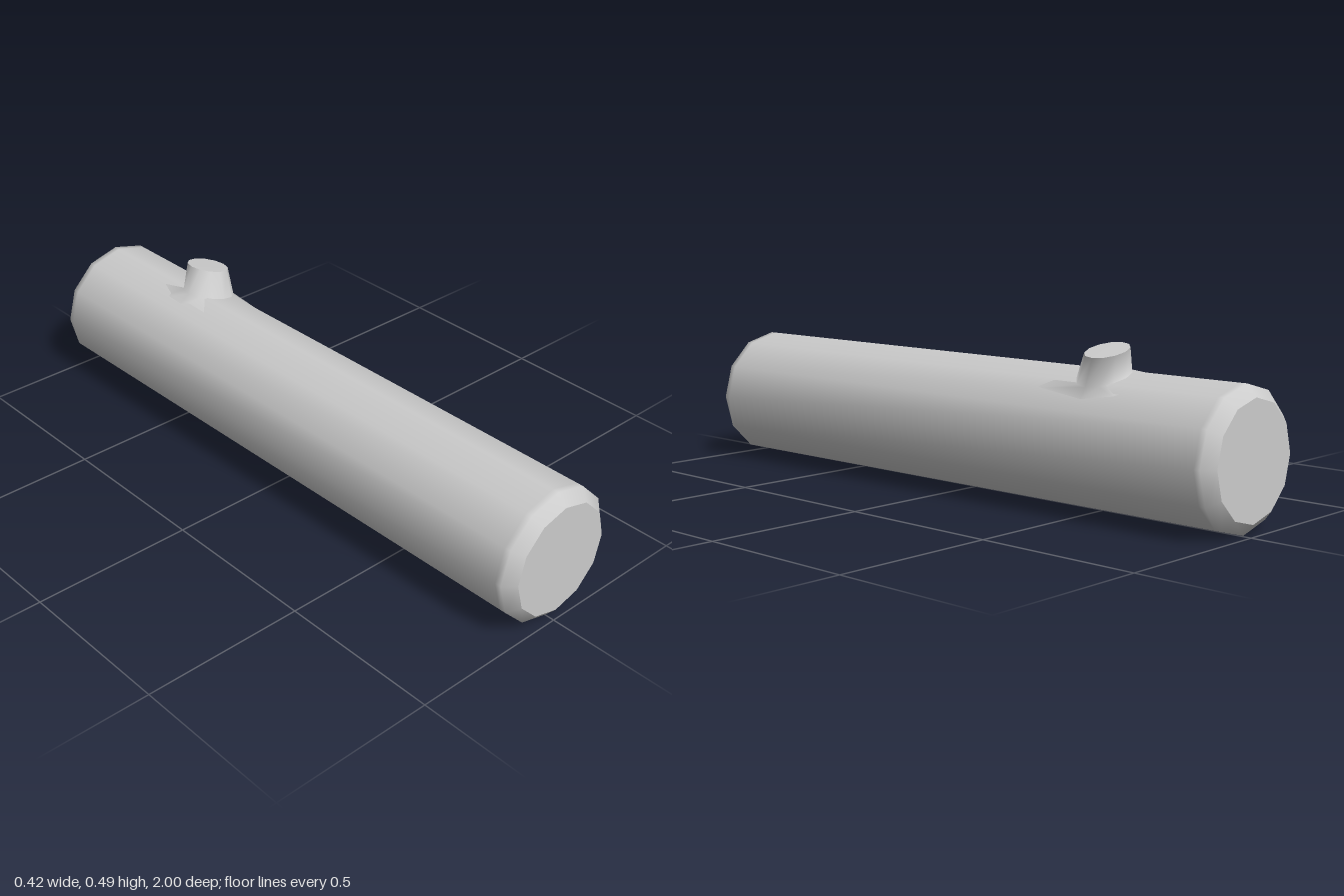
import * as THREE from 'three';

const SIDES = 12, R = 0.204, R_END = 0.17;
const material = new THREE.MeshStandardMaterial({ color: 0xcccccc });

// the log leans very slightly sideways along its length
const drift = (z) => -0.002 + 0.006 * z;

function add(group, name, geometry) {
  const mesh = new THREE.Mesh(geometry, material);
  mesh.name = name;
  group.add(mesh);
}

// smooth skin through rings of points, bottom ring first
function loft(rings) {
  const n = rings[0].length, index = [];
  for (let r = 0; r < rings.length - 1; r++) {
    for (let j = 0; j < n; j++) {
      const a = r * n + j, b = r * n + (j + 1) % n;
      index.push(a, a + n, b, b, a + n, b + n);
    }
  }
  const g = new THREE.BufferGeometry().setFromPoints(rings.flat());
  g.setIndex(index);
  g.computeVertexNormals();
  return g;
}

// tilted oval ring: centre, half width in x, drop towards +x, half depth in z
function ring([cx, cy, cz], hx, drop, hz) {
  return Array.from({ length: SIDES }, (_, j) => {
    const a = (j / SIDES) * Math.PI * 2, c = Math.cos(a);
    return new THREE.Vector3(cx + hx * c, cy - drop * c, cz + hz * Math.sin(a));
  });
}

export function createModel() {
  const group = new THREE.Group();

  // twelve-sided trunk with bevelled ends
  const profile = [[R_END, -1], [R, -0.97], [R, -0.95], [R, 0.95], [R, 0.97], [R_END, 1]];
  const trunk = new THREE.LatheGeometry(profile.map(([r, y]) => new THREE.Vector2(r, y)), SIDES);
  trunk.rotateX(Math.PI / 2);
  const p = trunk.attributes.position;
  for (let i = 0; i < p.count; i++) {
    p.setXY(i, p.getX(i) + drift(p.getZ(i)), p.getY(i) + R);
  }
  add(group, 'trunk', trunk);

  // flat cut ends
  for (const s of [1, -1]) {
    const end = new THREE.CircleGeometry(R_END, SIDES);
    if (s < 0) end.rotateY(Math.PI);
    end.translate(drift(s), R, s);
    add(group, s > 0 ? 'frontEnd' : 'backEnd', end);
  }

  // branch stub, flaring into the trunk along its length
  const skirt = ring([0.02, 0, -0.53], 0.123, 0, 0.2);
  for (const v of skirt) {
    v.y = R + Math.sqrt(0.199 ** 2 - v.x ** 2) - 0.004;
    if (v.z > -0.53) v.z += (v.z + 0.53) * 0.6;
  }
  const base = ring([0.044, 0.391, -0.533], 0.082, 0.021, 0.078);
  const top = ring([0.065, 0.47, -0.56], 0.065, 0.017, 0.064);
  add(group, 'branchStub', loft([skirt, base, top]));

  // flat cut on the branch
  const cut = new THREE.BufferGeometry().setFromPoints([...top, new THREE.Vector3(0.065, 0.471, -0.56)]);
  cut.setIndex(top.flatMap((_, j) => [SIDES, (j + 1) % SIDES, j]));
  cut.computeVertexNormals();
  add(group, 'branchCut', cut);

  return group;
}
